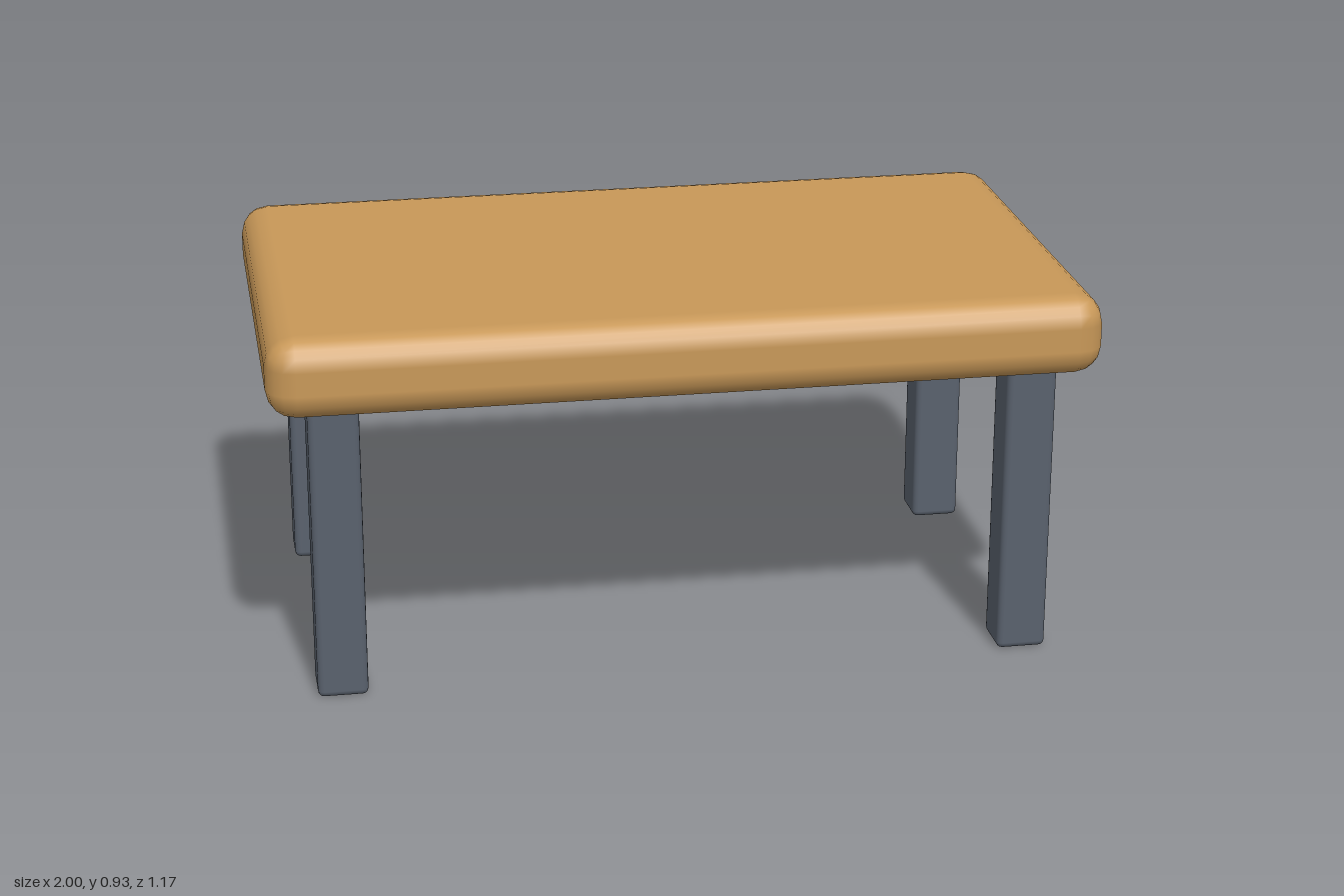
import * as THREE from 'three';
import { RoundedBoxGeometry } from 'three/addons/geometries/RoundedBoxGeometry.js';

export function createModel() {
  const wood = new THREE.MeshStandardMaterial({ name: 'wood', color: 0xc89858 });
  const slate = new THREE.MeshStandardMaterial({ name: 'slate grey', color: 0x59616d });
  const table = new THREE.Group();
  table.name = 'table';

  // Thick slab with soft edges
  const topBottom = 0.737, topHeight = 0.197;
  const top = new THREE.Mesh(new RoundedBoxGeometry(2, topHeight, 1.168, 2, 0.07), wood);
  top.name = 'tableTop';
  top.position.y = topBottom + topHeight / 2;
  table.add(top);

  // Four square legs, set slightly into the slab
  const legHeight = topBottom + 0.02;
  const legGeometry = new RoundedBoxGeometry(0.122, legHeight, 0.122, 2, 0.015);
  for (const [end, z] of [['front', 0.434], ['back', -0.434]]) {
    for (const [side, x] of [['Left', 0.843], ['Right', -0.843]]) {
      const leg = new THREE.Mesh(legGeometry, slate);
      leg.name = `${end}${side}Leg`;
      leg.position.set(x, legHeight / 2, z);
      table.add(leg);
    }
  }
  return table;
}
